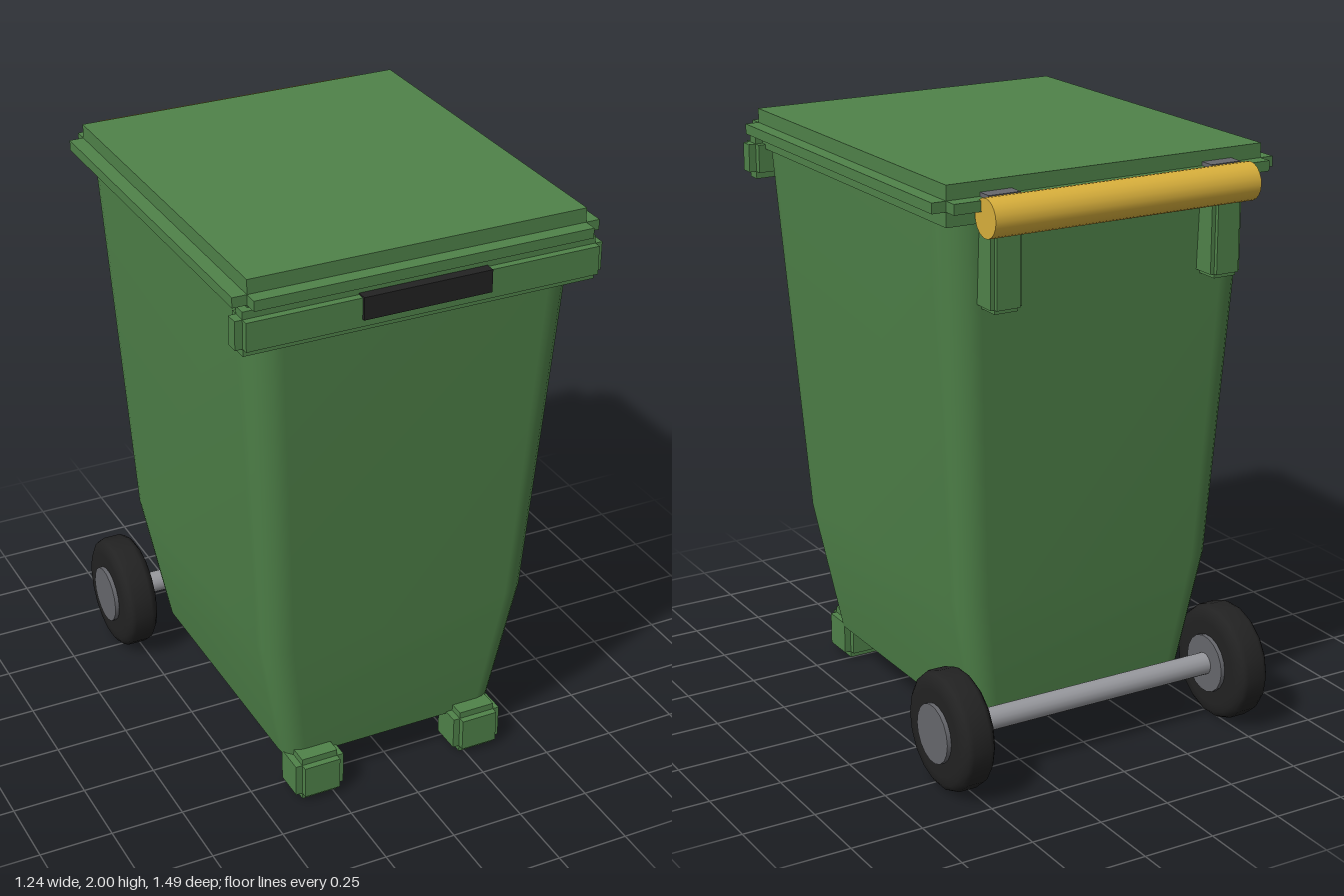
import * as THREE from 'three';

const mat = (name, color) => Object.assign(new THREE.MeshStandardMaterial({ color }), { name });

export function createModel() {
  const green = mat('green plastic', 0x4f8249);
  const black = mat('black rubber', 0x222222);
  const grey = mat('dark grey', 0x66676c);
  const steel = mat('axle steel', 0x97989d);
  const yellow = mat('yellow grip', 0xd9b03c);
  const model = new THREE.Group();
  model.name = 'wheeledBin';

  const add = (name, geometry, material, parent = model) => {
    const mesh = new THREE.Mesh(geometry, material);
    mesh.name = name;
    parent.add(mesh);
    return mesh;
  };
  const box = (name, x, y, z, material, parent) => {
    const mesh = add(name, new THREE.BoxGeometry(x[1] - x[0], y[1] - y[0], z[1] - z[0]), material, parent);
    mesh.position.set((x[0] + x[1]) / 2, (y[0] + y[1]) / 2, (z[0] + z[1]) / 2);
    return mesh;
  };
  // Block with stepped edges: three crossing boxes, each full size on one axis
  const steppedBox = (name, x, y, z, s) => {
    const group = new THREE.Group();
    group.name = name;
    const inset = (r) => [r[0] + s, r[1] - s];
    box(name + 'Wide', x, inset(y), inset(z), green, group);
    box(name + 'Tall', inset(x), y, inset(z), green, group);
    box(name + 'Deep', inset(x), inset(y), z, green, group);
    model.add(group);
  };

  // Tapered body, from rounded rectangles: [y, half width, back z, front z, corner radius]
  const sections = [
    [0.13, 0.39, -0.49, 0.555, 0.07],
    [0.6, 0.48, -0.545, 0.61, 0.09],
    [1.87, 0.565, -0.605, 0.69, 0.11],
  ];
  const rings = sections.map(([y, w, back, front, r]) => {
    const ring = [];
    for (let q = 0; q < 4; q++) {
      const cx = (q === 0 || q === 3 ? 1 : -1) * (w - r);
      const cz = q < 2 ? front - r : back + r;
      for (let k = 0; k <= 5; k++) {
        const a = (q + k / 5) * Math.PI / 2;
        ring.push([cx + r * Math.cos(a), y, cz + r * Math.sin(a)]);
      }
    }
    return ring;
  });
  const n = rings[0].length;
  const wall = new THREE.BufferGeometry();
  wall.setAttribute('position', new THREE.Float32BufferAttribute(rings.flat(2), 3));
  const index = [];
  for (let j = 0; j < rings.length - 1; j++) {
    for (let i = 0; i < n; i++) {
      const a = j * n + i, b = j * n + (i + 1) % n;
      index.push(a, a + n, b, b, a + n, b + n);
    }
  }
  wall.setIndex(index);
  wall.computeVertexNormals();
  add('bodyWall', wall, green);
  const cap = (name, ring, up) => {
    const g = new THREE.BufferGeometry();
    g.setAttribute('position', new THREE.Float32BufferAttribute(ring.flat(), 3));
    const faces = [];
    for (let i = 1; i < n - 1; i++) faces.push(...(up ? [0, i + 1, i] : [0, i, i + 1]));
    g.setIndex(faces);
    g.computeVertexNormals();
    add(name, g, green);
  };
  cap('bodyFloor', rings[0], false);
  cap('bodyTop', rings[2], true);

  // Lid and front lip with its pull
  steppedBox('lid', [-0.618, 0.618], [1.87, 2], [-0.658, 0.738], 0.048);
  steppedBox('frontLip', [-0.62, 0.62], [1.765, 1.91], [0.64, 0.735], 0.025);
  box('lidPull', [-0.218, 0.215], [1.815, 1.89], [0.7, 0.745], black);

  for (const [side, s] of [['left', 1], ['right', -1]]) {
    const span = (a, b) => (s > 0 ? [a, b] : [-b, -a]);
    // Front foot, handle post and hinge
    steppedBox(side + 'Foot', span(0.21, 0.385), [0, 0.16], [0.479, 0.633], 0.023);
    steppedBox(side + 'HandlePost', span(0.345, 0.455), [1.6, 1.9], [-0.685, -0.55], 0.014);
    box(side + 'Hinge', span(0.345, 0.455), [1.855, 1.965], [-0.662, -0.58], grey);

    // Wheel: rounded tyre and hub
    const wheel = new THREE.Group();
    wheel.name = side + 'Wheel';
    const profile = [
      [0.09, -0.058], [0.145, -0.06], [0.175, -0.058], [0.193, -0.045], [0.2, -0.03],
      [0.2, 0.03], [0.193, 0.045], [0.175, 0.058], [0.145, 0.06], [0.09, 0.058],
    ].map(([r, h]) => new THREE.Vector2(r, h));
    add('tyre', new THREE.LatheGeometry(profile, 18), black, wheel);
    add('hub', new THREE.CylinderGeometry(0.1, 0.1, 0.146, 18), grey, wheel);
    wheel.rotation.z = Math.PI / 2;
    wheel.position.set(s * 0.528, 0.2, -0.545);
    model.add(wheel);
  }

  // Axle and push handle
  const axle = add('axle', new THREE.CylinderGeometry(0.038, 0.038, 1.04, 16), steel);
  axle.rotation.z = Math.PI / 2;
  axle.position.set(0, 0.2, -0.545);
  const handle = add('handle', new THREE.CylinderGeometry(0.062, 0.062, 0.956, 20), yellow);
  handle.rotation.z = Math.PI / 2;
  handle.position.set(0, 1.903, -0.682);

  return model;
}
